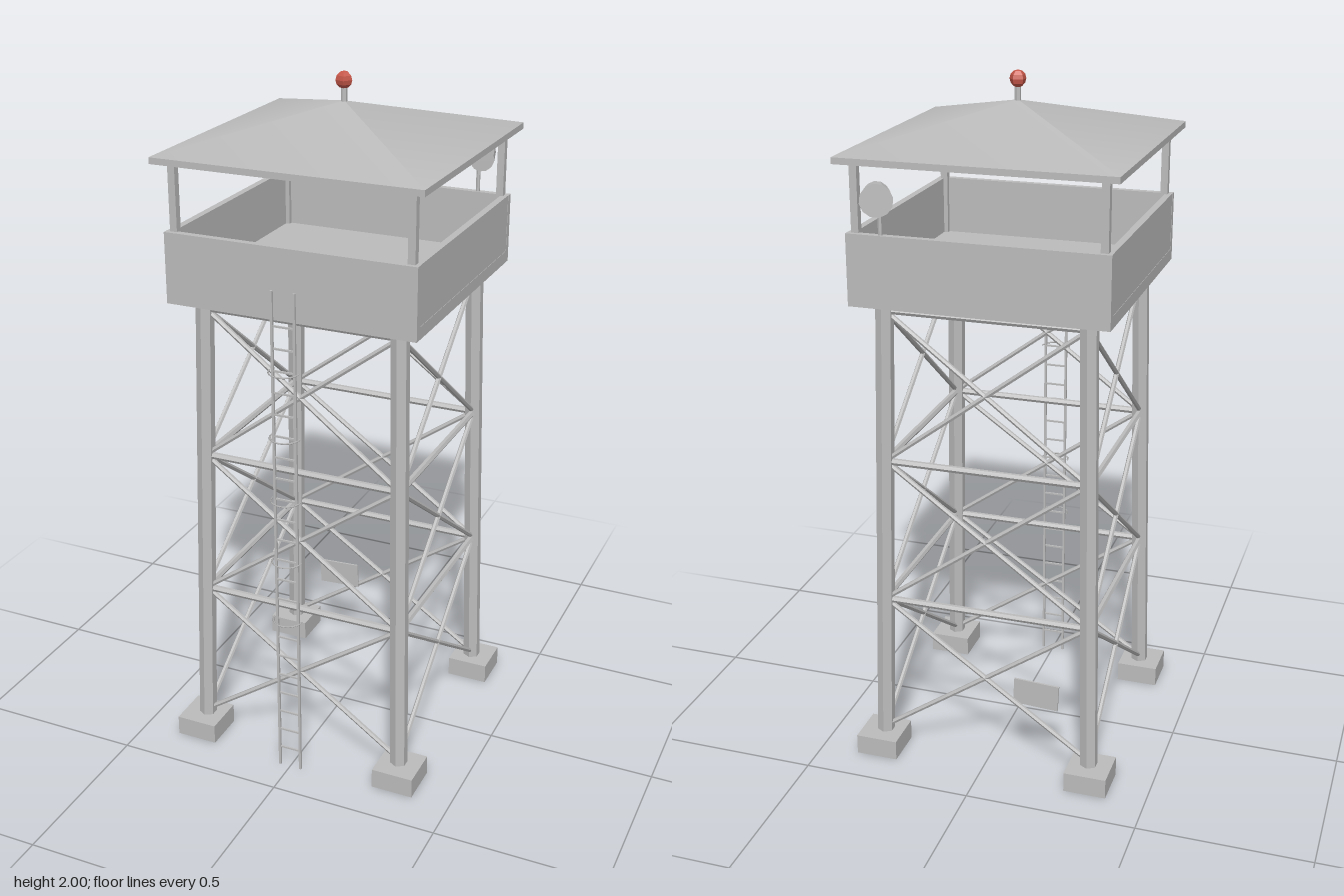
import * as THREE from 'three';

export function createModel() {
  const root = new THREE.Group();
  const tower = new THREE.Group();
  tower.name = 'watchtower';
  tower.position.z = -0.006;
  root.add(tower);

  const steel = new THREE.MeshStandardMaterial({ color: 0xbcbcbc, side: THREE.DoubleSide });
  steel.name = 'grey steel';
  const red = new THREE.MeshStandardMaterial({ color: 0xc8584a });
  red.name = 'beacon red';

  const V = (x, y, z) => new THREE.Vector3(x, y, z);
  const faceted = (g) => {
    const f = g.toNonIndexed();
    f.computeVertexNormals();
    return f;
  };
  const add = (name, geometry, parent = tower, material = steel) => {
    const mesh = new THREE.Mesh(geometry, material);
    mesh.name = name;
    parent.add(mesh);
    return mesh;
  };
  const box = (name, w, h, d, x, y, z, parent) => {
    const mesh = add(name, new THREE.BoxGeometry(w, h, d), parent);
    mesh.position.set(x, y, z);
    return mesh;
  };
  // Faceted round bar from a to b, optionally tapered
  const rod = (name, a, b, r, parent, sides = 6, rEnd = r) => {
    const dir = b.clone().sub(a);
    const mesh = add(name, faceted(new THREE.CylinderGeometry(rEnd, r, dir.length(), sides)), parent);
    mesh.position.copy(a).add(b).multiplyScalar(0.5);
    mesh.quaternion.setFromUnitVectors(V(0, 1, 0), dir.normalize());
    return mesh;
  };

  // Distance of the leg centre line from the axis at height y
  const spread = (y) => 0.319 - 0.021 * y;

  // Footings (open underneath) and leaning legs
  const footing = new THREE.BoxGeometry(0.125, 0.06, 0.125);
  const index = Array.from(footing.index.array);
  index.splice(18, 6);
  footing.setIndex(index);
  footing.clearGroups();
  for (const sx of [-1, 1]) for (const sz of [-1, 1]) {
    add('footing', footing).position.set(sx * 0.323, 0.03, sz * 0.323);
    const b = spread(0.05), t = spread(1.41);
    rod('leg', V(sx * b, 0.05, sz * b), V(sx * t, 1.41, sz * t), 0.026);
  }

  // Horizontal beams and crossed braces on all four sides
  const levels = [0.07, 0.5, 0.935, 1.38];
  for (let side = 0; side < 4; side++) {
    const frame = new THREE.Group();
    frame.name = 'bracedSide';
    frame.rotation.y = side * Math.PI / 2;
    tower.add(frame);
    for (let i = 0; i < 3; i++) {
      const y0 = levels[i], y1 = levels[i + 1];
      const b = spread(y0), t = spread(y1);
      rod('beam', V(-t, y1, t), V(t, y1, t), 0.01, frame);
      for (const s of [-1, 1]) rod('brace', V(-s * b, y0, b), V(s * t, y1, t), 0.0075, frame);
    }
  }

  // Lookout platform, parapet and roof posts
  box('platform', 0.73, 0.035, 0.73, 0, 1.4235, 0);
  for (const s of [-1, 1]) {
    box('parapetFrontBack', 0.73, 0.167, 0.02, 0, 1.5245, s * 0.355);
    box('parapetSide', 0.02, 0.167, 0.69, s * 0.354, 1.5245, 0);
    for (const z of [-1, 1]) box('roofPost', 0.021, 0.36, 0.021, s * 0.342, 1.62, z * 0.342);
  }

  // Roof: eave slab with a softly shaded pyramid
  box('eaves', 0.774, 0.018, 0.774, 0, 1.805, 0);
  const pyramid = new THREE.ConeGeometry(0.387 * Math.SQRT2, 0.106, 4, 1, true);
  pyramid.rotateY(Math.PI / 4);
  add('roof', pyramid).position.y = 1.867;

  // Beacon on a short mast
  rod('mast', V(0, 1.9, 0), V(0, 1.97, 0), 0.009);
  const ball = faceted(new THREE.SphereGeometry(0.024, 5, 6));
  ball.rotateY(Math.PI);
  add('beacon', ball, tower, red).position.y = 1.976;

  // Searchlight aimed out over the back
  rod('searchlightStand', V(0.268, 1.6, -0.355), V(0.268, 1.71, -0.355), 0.006);
  rod('searchlight', V(0.288, 1.71, -0.324), V(0.253, 1.714, -0.411), 0.035, tower, 12, 0.045);

  // Ladder with safety hoops
  const ladder = new THREE.Group();
  ladder.name = 'ladder';
  ladder.position.z = 0.394;
  tower.add(ladder);
  for (const s of [-1, 1]) box('ladderRail', 0.007, 1.5, 0.007, s * 0.033, 0.75, 0, ladder);
  const step = 0.0637;
  for (let i = 1; i <= 22; i++) box('rung', 0.066, 0.005, 0.005, 0, i * step, 0, ladder);
  for (let i = 8; i <= 20; i += 3) {
    const hoop = new THREE.TorusGeometry(0.043, 0.0025, 4, 14, Math.PI);
    hoop.rotateX(Math.PI / 2);
    add('safetyHoop', hoop, ladder).position.set(0, i * step, -0.003);
  }

  // Slightly crooked sign plate on the back
  box('signPlate', 0.135, 0.08, 0.006, -0.153, 0.258, -0.308).rotation.z = 0.05;

  return root;
}
